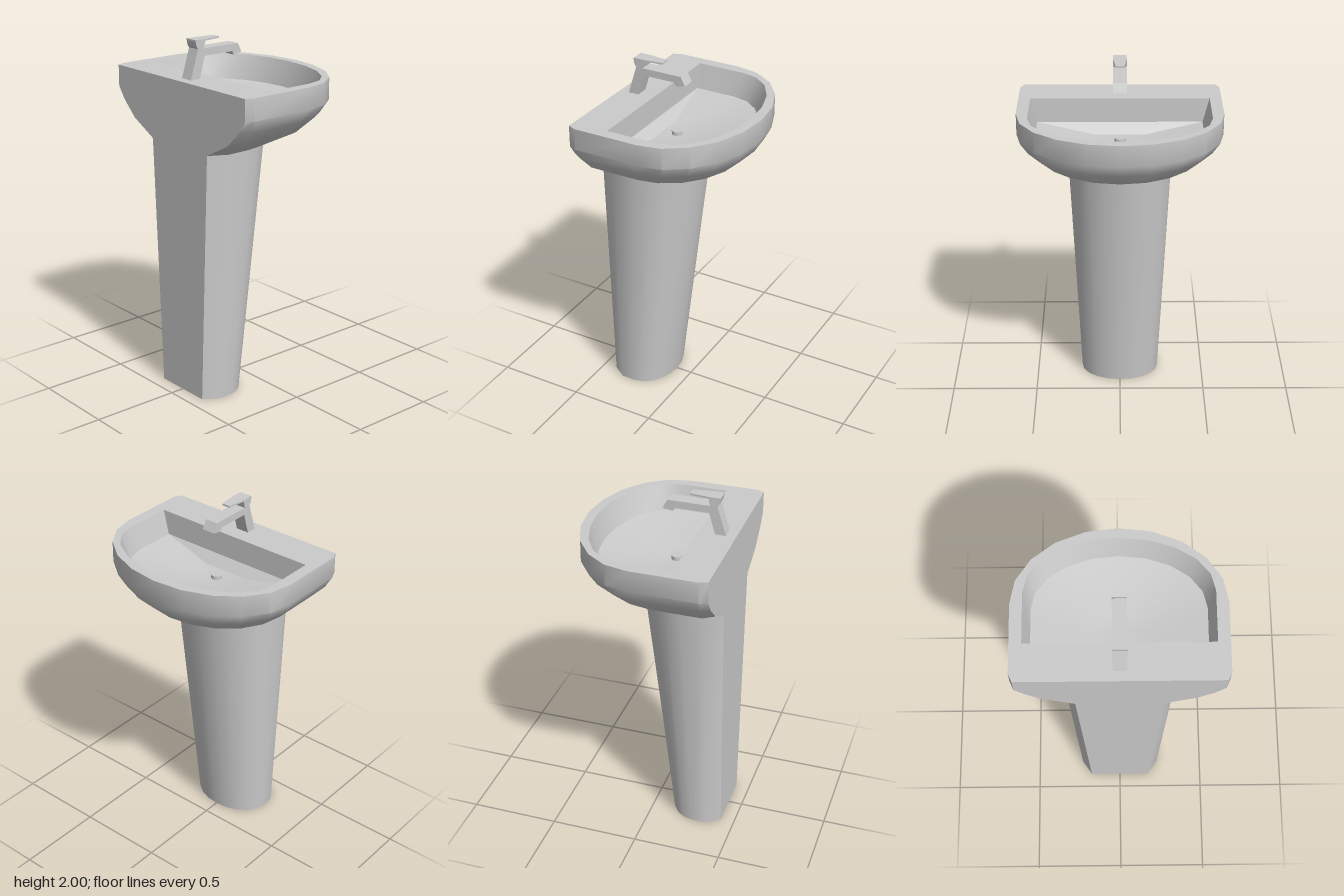
import * as THREE from 'three';
import { toCreasedNormals } from 'three/addons/utils/BufferGeometryUtils.js';

const material = new THREE.MeshStandardMaterial({ color: 0xcccccc, side: THREE.DoubleSide });

// D-shaped outline: flat back, straight sides, half-ellipse front
function dRing(y, backX, backW, sideX, width, arcX, frontX, steps = 5) {
  const half = [[backX, backW], [sideX, width]];
  for (let i = 0; i <= steps; i++) {
    const a = (i / steps) * Math.PI / 2;
    half.push([arcX + (frontX - arcX) * Math.sin(a), width * Math.cos(a)]);
  }
  const mirrored = half.slice(0, -1).reverse().map(([x, z]) => [x, -z]);
  return [...half, ...mirrored].map(([x, z]) => [x, y, z]);
}

// Skin a list of equal rings, optionally filling the last one
function loft(rings, cap) {
  const n = rings[0].length;
  const positions = [];
  const tri = (...pts) => pts.forEach((p) => positions.push(...p));
  for (let r = 0; r < rings.length - 1; r++) {
    for (let i = 0; i < n; i++) {
      const j = (i + 1) % n;
      const [a, b, c, d] = [rings[r][i], rings[r][j], rings[r + 1][j], rings[r + 1][i]];
      tri(a, b, c);
      tri(a, c, d);
    }
  }
  if (cap) {
    const last = rings[rings.length - 1];
    for (let i = 0; i < n; i++) tri(last[i], last[(i + 1) % n], cap);
  }
  const geometry = new THREE.BufferGeometry();
  geometry.setAttribute('position', new THREE.Float32BufferAttribute(positions, 3));
  return toCreasedNormals(geometry, 0.65);
}

function extrude(points, depth) {
  const shape = new THREE.Shape(points.map(([x, y]) => new THREE.Vector2(x, y)));
  return new THREE.ExtrudeGeometry(shape, { depth, bevelEnabled: false });
}

export function createModel() {
  const model = new THREE.Group();
  const add = (name, geometry, parent = model) => {
    const mesh = new THREE.Mesh(geometry, material);
    mesh.name = name;
    parent.add(mesh);
    return mesh;
  };

  // Tapered hollow pedestal, open underneath
  add('pedestal', loft([
    dRing(0, -0.42, 0.175, -0.34, 0.23, -0.26, -0.095),
    dRing(1.43, -0.42, 0.235, -0.32, 0.29, -0.19, 0.085),
  ]));

  // Basin: outer shell, rim, inner wall and sloping floor
  add('basin', loft([
    dRing(1.43, -0.42, 0.235, -0.32, 0.29, -0.19, 0.085),
    dRing(1.515, -0.42, 0.40, -0.36, 0.44, -0.08, 0.30),
    dRing(1.60, -0.42, 0.49, -0.37, 0.52, -0.03, 0.385),
    dRing(1.67, -0.42, 0.54, -0.375, 0.56, 0, 0.42),
    dRing(1.79, -0.42, 0.54, -0.375, 0.56, 0, 0.42),
    dRing(1.79, -0.215, 0.495, -0.08, 0.495, 0.065, 0.365),
    dRing(1.65, -0.215, 0.46, -0.09, 0.46, 0.025, 0.325),
    dRing(1.595, -0.165, 0.14, -0.12, 0.14, -0.08, 0.03),
  ], [-0.08, 1.59, 0]));

  // Drain plug
  add('drain', new THREE.CylinderGeometry(0.03, 0.03, 0.025, 16)).position.set(-0.085, 1.6, 0);

  // Tap with leaning column, spout and lever
  const tap = new THREE.Group();
  tap.name = 'tap';
  model.add(tap);
  add('tapBody', extrude([
    [-0.365, 1.79], [-0.305, 1.79], [-0.27, 1.91], [-0.08, 1.91], [-0.07, 1.89],
    [-0.015, 1.90], [-0.04, 1.95], [-0.275, 1.95], [-0.265, 1.99], [-0.33, 1.99],
    [-0.325, 1.965], [-0.315, 1.95],
  ], 0.076), tap).position.z = -0.038;
  const lever = add('tapLever', extrude([
    [-0.33, -0.038], [-0.27, -0.038], [-0.16, -0.024],
    [-0.16, 0.024], [-0.27, 0.038], [-0.33, 0.038],
  ], 0.01), tap);
  lever.rotation.x = -Math.PI / 2;
  lever.position.y = 1.99;

  return model;
}
